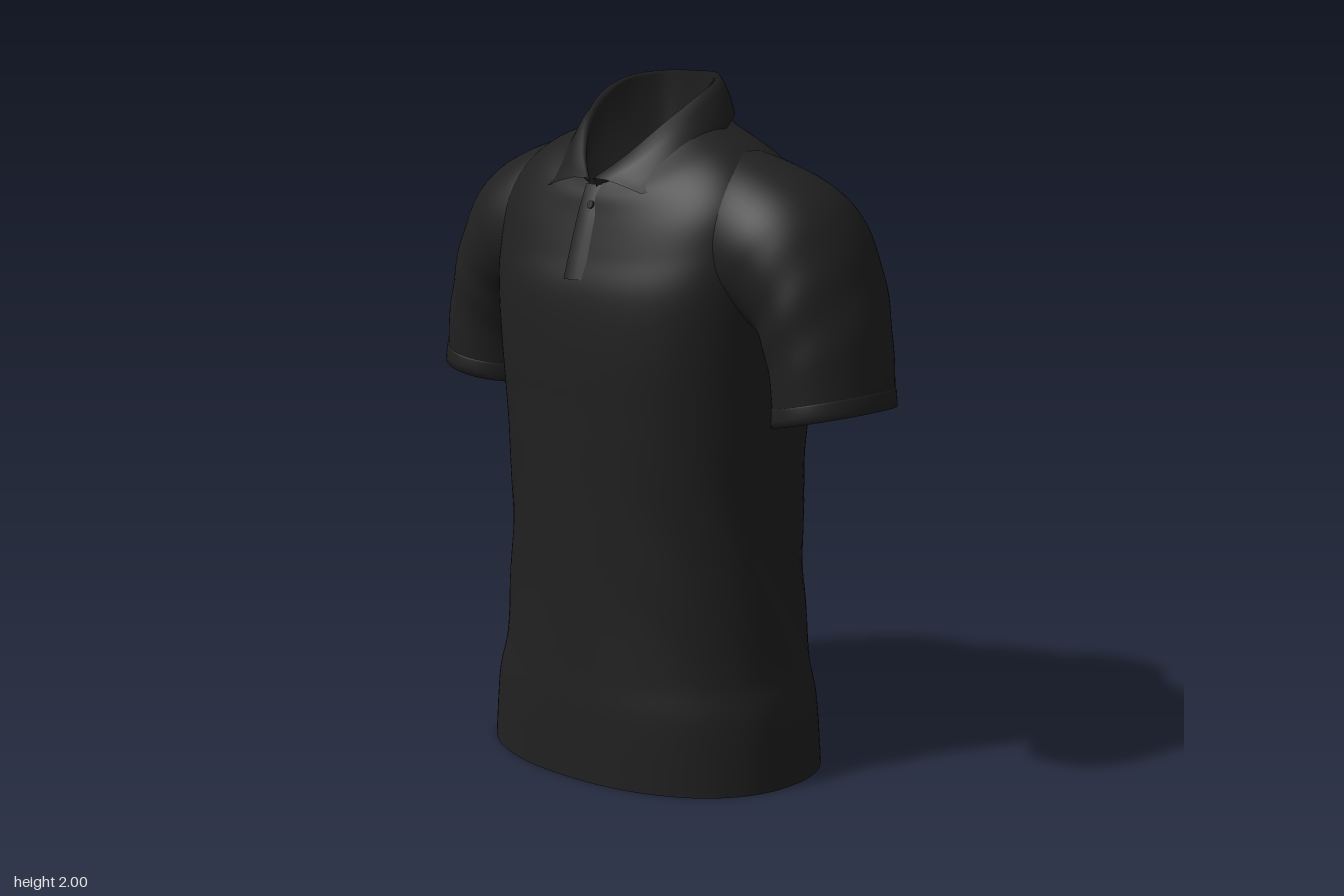
import * as THREE from 'three';

const fabric = new THREE.MeshStandardMaterial({ color: 0x202020, side: THREE.DoubleSide });
fabric.name = 'black fabric';
const V = (x, y, z) => new THREE.Vector3(x, y, z);

// Skin a list of point rows; closed rows wrap round without a seam
function loft(name, rows, closed) {
  const n = rows[0].length, pos = [], idx = [];
  rows.forEach(r => r.forEach(p => pos.push(p.x, p.y, p.z)));
  for (let i = 0; i < rows.length - 1; i++) {
    for (let j = 0; j < (closed ? n : n - 1); j++) {
      const a = i * n + j, b = i * n + (j + 1) % n, c = a + n, d = b + n;
      idx.push(a, b, d, a, d, c);
    }
  }
  const g = new THREE.BufferGeometry();
  g.setAttribute('position', new THREE.Float32BufferAttribute(pos, 3));
  g.setIndex(idx);
  g.computeVertexNormals();
  const m = new THREE.Mesh(g, fabric);
  m.name = name;
  return m;
}

// Smoothly interpolate every column of a table, t from 0 to 1
function table(rows) {
  const curves = rows[0].map((_, k) => new THREE.SplineCurve(rows.map((r, i) => new THREE.Vector2(i, r[k]))));
  return t => curves.map(c => c.getPoint(t).y);
}

// Torso sections: side y, front y, back y, half width, front z, back z, squareness
const torsoAt = table([
  [0, 0, 0, 0.535, 0.385, 0.387, 2.2],
  [0.2, 0.2, 0.2, 0.518, 0.378, 0.376, 2.2],
  [0.33, 0.33, 0.33, 0.488, 0.37, 0.37, 2.15],
  [0.55, 0.55, 0.55, 0.468, 0.361, 0.364, 2.15],
  [0.8, 0.8, 0.8, 0.457, 0.359, 0.36, 2.2],
  [1.05, 1.05, 1.05, 0.465, 0.36, 0.363, 2.35],
  [1.25, 1.25, 1.25, 0.475, 0.361, 0.364, 2.5],
  [1.42, 1.4, 1.4, 0.485, 0.35, 0.356, 2.6],
  [1.56, 1.5, 1.53, 0.487, 0.32, 0.339, 2.6],
  [1.665, 1.57, 1.63, 0.47, 0.298, 0.315, 2.6],
  [1.745, 1.62, 1.72, 0.42, 0.282, 0.283, 2.5],
  [1.803, 1.66, 1.8, 0.345, 0.27, 0.237, 2.3],
  [1.846, 1.685, 1.87, 0.25, 0.258, 0.2, 2],
  [1.87, 1.7, 1.9, 0.19, 0.25, 0.18, 2],
]);

function torsoRing(t) {
  const [ys, yf, yb, w, zf, zb, n] = torsoAt(t), ring = [];
  for (let j = 0; j < 96; j++) {
    const a = j / 96 * Math.PI * 2, s = Math.sin(a), c = Math.cos(a);
    const sx = Math.sign(s) * Math.abs(s) ** (2 / n), cz = Math.sign(c) * Math.abs(c) ** (2 / n);
    const y = ys + ((c > 0 ? yf : yb) - ys) * c * c;
    const z = cz * (c > 0 ? zf : zb);
    // soft diagonal drapes round the waist sides
    const fade = Math.sin(Math.PI * THREE.MathUtils.clamp((y - 0.12) / 1.05, 0, 1)) ** 2;
    const k = 1 + 0.014 * fade * s * s * Math.sin(18 * (y - 1.75 * z));
    ring.push(V(sx * w * k, y, z * k));
  }
  return ring;
}

// Sleeve sections: outer x, y, inner x, y, half depth, centre z
const sleeveAt = table([
  [0.805, 1.118, 0.5, 1.05, 0.19, -0.015],
  [0.79, 1.25, 0.49, 1.18, 0.199, -0.018],
  [0.762, 1.38, 0.465, 1.27, 0.213, -0.024],
  [0.716, 1.525, 0.43, 1.31, 0.226, -0.028],
  [0.655, 1.645, 0.37, 1.32, 0.236, -0.027],
  [0.575, 1.717, 0.31, 1.32, 0.24, -0.022],
  [0.465, 1.767, 0.25, 1.34, 0.225, -0.015],
  [0.36, 1.798, 0.2, 1.4, 0.19, -0.01],
]);

function sleeveRing(side, t, scale = 1) {
  const [ox, oy, ix, iy, hz, zc] = sleeveAt(t), ring = [];
  for (let j = 0; j < 64; j++) {
    const a = j / 64 * Math.PI * 2, c = Math.cos(a) * scale, s = Math.sin(a) * scale;
    // slight creases on the lower sleeve
    const k = 1 + 0.012 * Math.sin(a * 3 + t * 30) * Math.sin(Math.PI * Math.min(1, t * 1.6)) ** 2;
    ring.push(V(side * ((ox + ix) / 2 + c * k * (ox - ix) / 2), (oy + iy) / 2 + c * k * (oy - iy) / 2, zc + s * k * hz));
  }
  return ring;
}

// Half an edge from back centre to front, mirrored into a full smooth curve
function collarEdge(half) {
  const right = half.map(p => V(...p));
  const left = right.slice(1).reverse().map(p => V(-p.x, p.y, p.z));
  return new THREE.CatmullRomCurve3([...left, ...right], false, 'centripetal');
}

function makeCollar() {
  const stand = [[0, 1.78, -0.185], [0.1, 1.78, -0.165], [0.16, 1.78, -0.08], [0.17, 1.76, 0.03], [0.14, 1.73, 0.13], [0.08, 1.7, 0.21], [0.012, 1.68, 0.255]];
  const fold = [[0, 2, -0.163], [0.1, 1.998, -0.148], [0.168, 1.983, -0.07], [0.182, 1.94, 0.03], [0.15, 1.87, 0.13], [0.085, 1.783, 0.215], [0.012, 1.718, 0.272]];
  const hem = [[0, 1.895, -0.205], [0.125, 1.89, -0.187], [0.218, 1.87, -0.08], [0.25, 1.822, 0.02], [0.252, 1.752, 0.12], [0.225, 1.695, 0.205], [0.18, 1.685, 0.258]];
  const mix = (a, b, f, dy) => a.map((p, i) => {
    const q = p.map((v, k) => v + (b[i][k] - v) * f);
    return [q[0] * 1.015, q[1] + dy, q[2] + Math.sign(q[2]) * 0.003];
  });
  const inner = fold.map(p => [p[0] * 0.93, p[1] - 0.012, p[2] - Math.sign(p[2]) * 0.012]);
  const under = hem.map(p => [p[0] * 0.96, p[1] + 0.004, p[2] - Math.sign(p[2]) * 0.014]);
  // the lining closes the neck below the stand
  const lining = stand.map(p => [0, 1.66, p[2] * 0.85]);
  const edges = [lining, stand, inner, fold, mix(fold, hem, 0.3, 0.008), mix(fold, hem, 0.65, 0.006), hem, under];
  const rows = edges.map(e => {
    const curve = collarEdge(e);
    return Array.from({ length: 81 }, (_, i) => curve.getPoint(i / 80));
  });
  return loft('collar', rows, false);
}

export function createModel() {
  const shirt = new THREE.Group();
  shirt.name = 'poloShirt';

  // Body, open at the hem
  shirt.add(loft('body', Array.from({ length: 91 }, (_, i) => torsoRing(i / 90)), true));

  // Sleeves with folded cuffs
  for (const side of [1, -1]) {
    const sleeve = new THREE.Group();
    sleeve.name = side > 0 ? 'leftSleeve' : 'rightSleeve';
    sleeve.add(loft('sleeve', Array.from({ length: 51 }, (_, i) => sleeveRing(side, i / 50)), true));
    sleeve.add(loft('cuff', [
      sleeveRing(side, 0.08, 0.95), sleeveRing(side, 0, 0.96), sleeveRing(side, 0, 1.03),
      sleeveRing(side, 0.03, 1.03), sleeveRing(side, 0.06, 1.02), sleeveRing(side, 0.065, 0.995),
    ], true));
    shirt.add(sleeve);
  }

  shirt.add(makeCollar());

  // Front placket, overlapping along one edge, and its top button
  const line = [[1.7, 0.25], [1.62, 0.284], [1.57, 0.301], [1.5, 0.324], [1.44, 0.343]];
  const strip = line.map(([y, z]) => [[-0.03, -0.005], [-0.029, 0.006], [0.015, 0.004], [0.05, -0.01]].map(([x, d]) => V(x, y, z + d)));
  shirt.add(loft('placket', strip, false));
  const button = new THREE.Mesh(new THREE.CylinderGeometry(0.011, 0.011, 0.006, 20), fabric);
  button.name = 'button';
  button.position.set(0.012, 1.645, 0.281);
  button.rotation.x = Math.PI / 2 - 0.35;
  shirt.add(button);

  return shirt;
}
